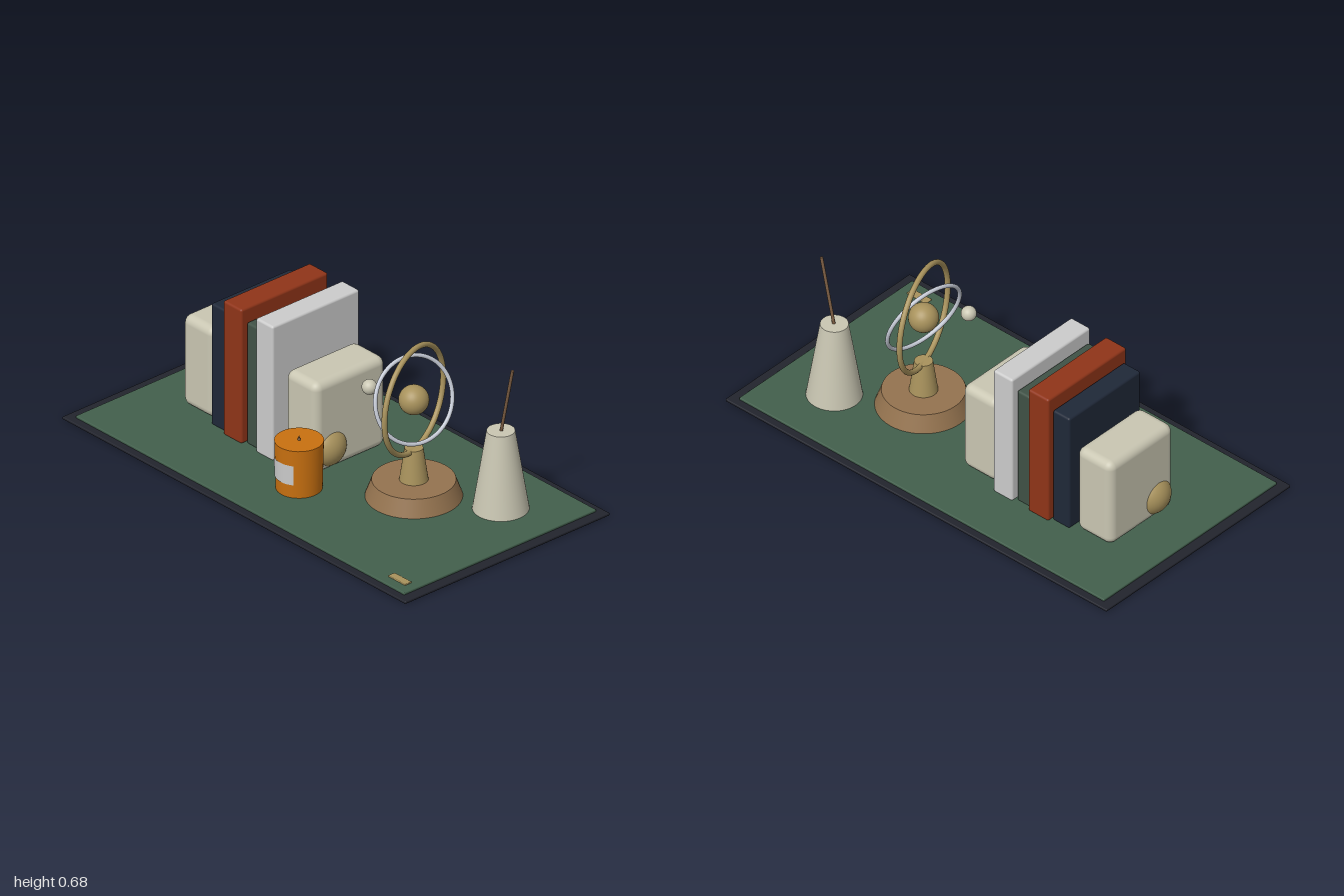
import * as THREE from 'three';
import { RoundedBoxGeometry } from 'three/addons/geometries/RoundedBoxGeometry.js';

const mat = (color, side = THREE.FrontSide) => new THREE.MeshStandardMaterial({ color, side });
const cream = mat(0xc9c6b2), brass = mat(0xa8925c), silver = mat(0xc4c9d4), wood = mat(0x94734f);
const navy = mat(0x1f2838), rust = mat(0x8f3418), green = mat(0x3f5145), grey = mat(0xcccccc);
const orange = mat(0xc87010), dark = mat(0x22242d), felt = mat(0x425f4c), pencil = mat(0x7a5c42);

const FLOOR = 0.02; // top of the mat, where everything stands

export function createModel() {
  const root = new THREE.Group();

  const add = (name, geometry, material, x, y, z, parent = root) => {
    const mesh = new THREE.Mesh(geometry, material);
    mesh.name = name;
    mesh.position.set(x, y, z);
    parent.add(mesh);
    return mesh;
  };
  const group = (name, x, y, z) => {
    const g = new THREE.Group();
    g.name = name;
    g.position.set(x, y, z);
    root.add(g);
    return g;
  };
  const rbox = (w, h, d, r) => new RoundedBoxGeometry(w, h, d, 4, r);
  // Cone frustum standing on y = 0
  const frustum = (top, bottom, h) => new THREE.CylinderGeometry(top, bottom, h, 48).translate(0, h / 2, 0);

  // Desk mat: dark border with a felt inlay and a small plaque
  add('matBorder', rbox(2, 0.012, 1.07, 0.004), dark, 0, 0.006, 0);
  add('matFelt', rbox(1.915, 0.012, 1.005, 0.004), felt, 0, 0.016, 0);
  add('plaque', rbox(0.1, 0.008, 0.035, 0.003), brass, 0.866, 0.023, 0.443);

  // Bookends, each with a domed brass knob on the outer face
  for (const [name, x, side] of [['leftmostBookend', -0.664, -1], ['innerBookend', -0.064, 1]]) {
    const end = group(name, x, FLOOR, -0.055);
    add('block', rbox(0.184, 0.4, 0.37, 0.035), cream, 0, 0.2, 0, end);
    add('knob', new THREE.SphereGeometry(0.088, 32, 24), brass, side * 0.04, 0.088, 0.095, end);
  }

  // Row of books: centre x, width, height, depth
  const books = [
    [-0.512, 0.088, 0.54, 0.415, navy],
    [-0.41, 0.107, 0.597, 0.455, rust],
    [-0.315, 0.068, 0.54, 0.415, green],
    [-0.224, 0.1, 0.597, 0.455, grey],
  ];
  books.forEach(([x, w, h, d, m], i) =>
    add(`book${i + 1}`, rbox(w, h, d, 0.01), m, x, FLOOR + h / 2, -0.052));

  // Candle with wick and a curved label
  const candle = group('candle', 0.05, FLOOR, 0.238);
  add('candleBody', frustum(0.097, 0.092, 0.212), orange, 0, 0, 0, candle);
  add('wick', new THREE.ConeGeometry(0.007, 0.022, 12), pencil, 0, 0.222, 0, candle);
  add('candleLabel', new THREE.CylinderGeometry(0.0985, 0.0965, 0.086, 16, 1, true, -0.61, 1.22),
    mat(0xcccccc, THREE.DoubleSide), 0, 0.103, 0, candle);

  // Gyroscope ornament: stand, two rings, core and satellite ball
  const gyro = group('gyroscope', 0.398, FLOOR, -0.05);
  add('base', frustum(0.165, 0.192, 0.075), wood, 0, 0, 0, gyro);
  add('pillar', frustum(0.037, 0.057, 0.14), brass, 0, 0.075, 0, gyro);
  const cy = 0.427;
  const facing = new THREE.Vector3(0, 0, 1);
  const ring = (name, radius, tube, material, normal) =>
    add(name, new THREE.TorusGeometry(radius, tube, 16, 80), material, 0, cy, 0, gyro)
      .quaternion.setFromUnitVectors(facing, normal.normalize());
  ring('outerRing', 0.223, 0.0115, brass, new THREE.Vector3(0.955, 0, -0.296));
  ring('innerRing', 0.175, 0.0085, silver, new THREE.Vector3(0.93, 0.32, 0.15));
  add('core', new THREE.SphereGeometry(0.0605, 32, 24), brass, 0, cy, 0, gyro);
  add('satellite', new THREE.SphereGeometry(0.031, 24, 16), cream, -0.144, 0.463, 0.103, gyro);

  // Tapered pen stand with a leaning pen
  const stand = group('penStand', 0.699, FLOOR, -0.235);
  add('standBody', frustum(0.056, 0.112, 0.347), cream, 0, 0, 0, stand);
  const pen = add('pen', new THREE.CylinderGeometry(0.0065, 0.0065, 0.32, 16), pencil, 0.033, 0.482, 0, stand);
  pen.rotation.z = -0.22;

  return root;
}
